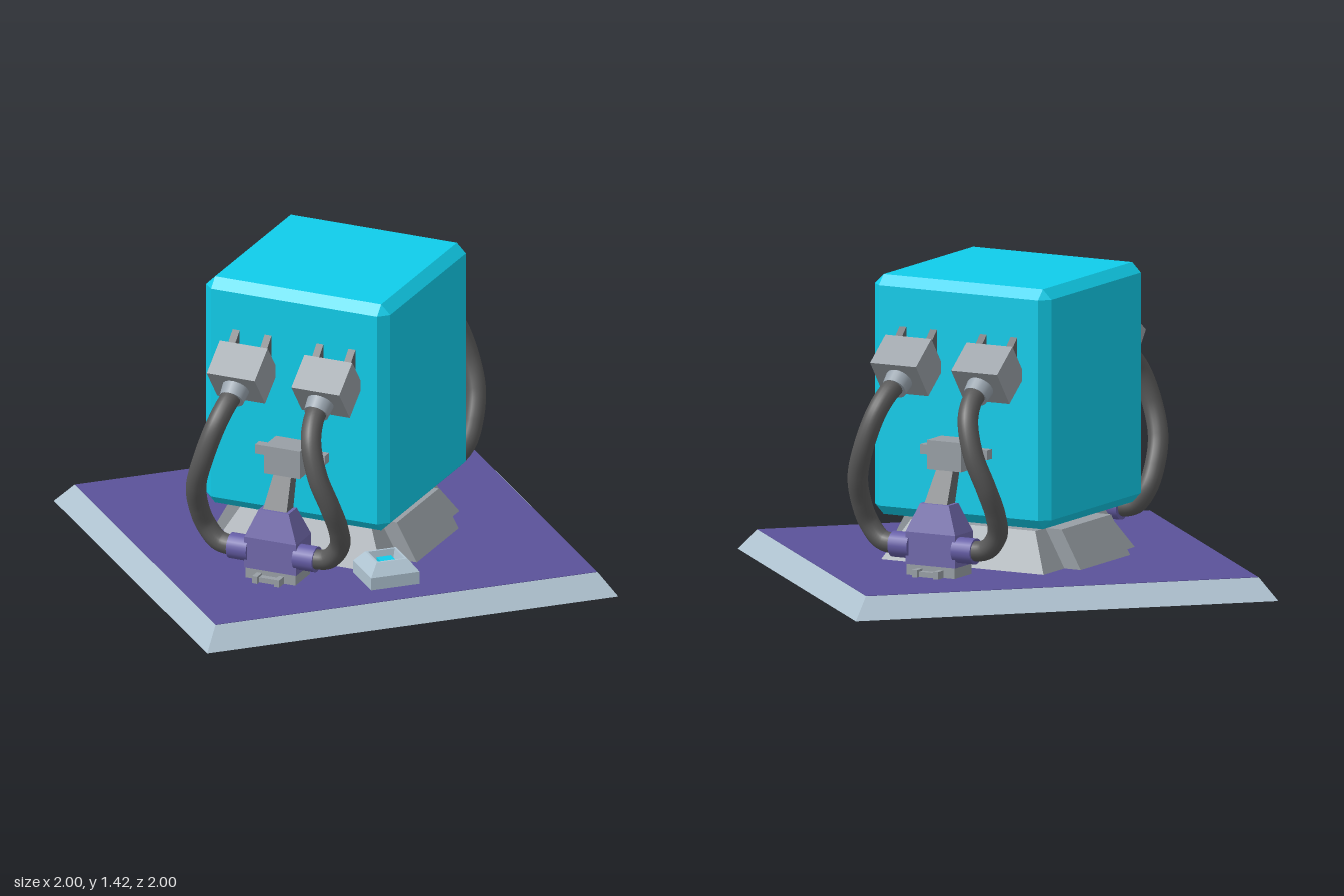
import * as THREE from 'three';
import { ConvexGeometry } from 'three/addons/geometries/ConvexGeometry.js';

const mat = (color, flatShading = true) => new THREE.MeshStandardMaterial({ color, flatShading });
const RIM = mat(0xb0c4d2), PURPLE = mat(0x5a5299), HOLDER = mat(0x7068ab), GREY = mat(0x989fa5);
const DARK = mat(0x626669), CYAN = mat(0x10cdea), CABLE = mat(0x585858, false), COLLAR = mat(0x98a3ad, false);
const PLUG = mat(0x655da6, false);

function add(parent, name, geometry, material, x = 0, y = 0, z = 0) {
  const mesh = new THREE.Mesh(geometry, material);
  mesh.name = name;
  mesh.position.set(x, y, z);
  parent.add(mesh);
  return mesh;
}

// Tapered box standing on y = 0; the top can be shifted sideways
function frustum(bw, bd, tw, td, h, dx = 0, dz = 0) {
  const g = new THREE.BoxGeometry(1, h, 1).translate(0, h / 2, 0);
  const p = g.attributes.position;
  for (let i = 0; i < p.count; i++) {
    const top = p.getY(i) > h / 2;
    p.setX(i, p.getX(i) * (top ? tw : bw) + (top ? dx : 0));
    p.setZ(i, p.getZ(i) * (top ? td : bd) + (top ? dz : 0));
  }
  g.computeVertexNormals();
  return g;
}

// Box with every edge and corner cut off by c
function chamferBox(w, h, d, c) {
  const pts = [];
  for (const sx of [-1, 1]) for (const sy of [-1, 1]) for (const sz of [-1, 1])
    for (let k = 0; k < 3; k++) {
      const cut = [c, c, c];
      cut[k] = 0;
      pts.push(new THREE.Vector3(sx * (w / 2 - cut[0]), sy * (h / 2 - cut[1]), sz * (d / 2 - cut[2])));
    }
  return new ConvexGeometry(pts);
}

// Small housing with a recessed lit square
function createIndicator() {
  const g = new THREE.Group();
  g.name = 'indicator';
  const profile = [[0.118, 0], [0.118, 0.06], [0.075, 0.115], [0.064, 0.115], [0.055, 0.07], [0, 0.07]]
    .map(([r, y]) => new THREE.Vector2(r * Math.SQRT2, y));
  const shell = new THREE.LatheGeometry(profile, 4, Math.PI / 4).toNonIndexed();
  shell.computeVertexNormals();
  add(g, 'indicatorHousing', shell, RIM);
  add(g, 'indicatorRecess', new THREE.BoxGeometry(0.108, 0.004, 0.108), DARK, 0, 0.071, 0);
  add(g, 'indicatorLight', new THREE.BoxGeometry(0.07, 0.025, 0.07), CYAN, 0, 0.083, 0);
  g.position.set(0, 0.1, 0.655);
  return g;
}

// One upper connector with its cable; side is -1 or 1
function createConnector(side) {
  const g = new THREE.Group();
  g.name = side > 0 ? 'cableRight' : 'cableLeft';

  // Connector head tilted outward and down
  const head = new THREE.Group();
  head.name = 'connectorHead';
  add(head, 'connectorBlock', new THREE.BoxGeometry(0.24, 0.19, 0.18), GREY);
  add(head, 'connectorCollar', new THREE.CylinderGeometry(0.058, 0.065, 0.07, 20).rotateX(Math.PI / 2), COLLAR, 0, 0, 0.115);
  head.position.set(side * 0.212, 1.037, 0.563);
  head.rotation.x = 0.65;
  g.add(head);

  // Triangular fins between head and cube
  const fin = new THREE.Shape([[0.45, 1.205], [0.45, 0.98], [0.56, 1.02], [0.56, 1.1]].map(([z, y]) => new THREE.Vector2(-z, y)));
  for (const x of [0.13, 0.29]) {
    const geo = new THREE.ExtrudeGeometry(fin, { depth: 0.035, bevelEnabled: false })
      .translate(0, 0, -0.0175).rotateY(Math.PI / 2);
    add(g, 'connectorFin', geo, DARK, side * x, 0, 0);
  }

  // Hanging cable
  const path = [[0.212, 0.97, 0.65], [0.22, 0.93, 0.73], [0.24, 0.85, 0.8], [0.286, 0.7, 0.83], [0.335, 0.55, 0.8],
    [0.35, 0.42, 0.74], [0.335, 0.32, 0.695], [0.275, 0.245, 0.685], [0.18, 0.23, 0.685]]
    .map(([x, y, z]) => new THREE.Vector3(side * x, y, z));
  add(g, 'cable', new THREE.TubeGeometry(new THREE.CatmullRomCurve3(path), 60, 0.047, 16), CABLE);

  // Plug on the lower holder
  add(g, 'lowerPlug', new THREE.CylinderGeometry(0.06, 0.06, 0.1, 20).rotateZ(Math.PI / 2), PLUG, side * 0.165, 0.23, 0.68);
  return g;
}

// Connectors, cables, holder and latch of one side, facing +z
function createSideAssembly() {
  const g = new THREE.Group();
  g.name = 'sideAssembly';
  for (const side of [-1, 1]) g.add(createConnector(side));

  add(g, 'holderFoot', new THREE.BoxGeometry(0.25, 0.05, 0.16), GREY, 0, 0.125, 0.64);
  add(g, 'holderBody', new THREE.BoxGeometry(0.26, 0.15, 0.165), HOLDER, 0, 0.225, 0.64);
  add(g, 'holderTop', frustum(0.26, 0.165, 0.15, 0.09, 0.13), HOLDER, 0, 0.3, 0.64);
  add(g, 'latchArm', frustum(0.12, 0.075, 0.08, 0.06, 0.19, 0, -0.1), DARK, 0, 0.42, 0.64);

  // Latch on the cube face
  add(g, 'latchBlock', new THREE.BoxGeometry(0.18, 0.135, 0.14), GREY, 0, 0.64, 0.525);
  for (const side of [-1, 1])
    add(g, 'latchTab', new THREE.BoxGeometry(0.09, 0.045, 0.05), GREY, side * 0.13, 0.645, 0.48);

  // Clip at the foot of the holder
  add(g, 'footClip', new THREE.BoxGeometry(0.11, 0.025, 0.03), GREY, 0, 0.113, 0.735);
  for (const side of [-1, 1])
    add(g, 'footClipEnd', new THREE.BoxGeometry(0.025, 0.035, 0.065), GREY, side * 0.055, 0.118, 0.74);
  return g;
}

export function createModel() {
  const model = new THREE.Group();
  model.name = 'cubeStation';

  // Floor plate
  add(model, 'basePlate', frustum(2, 2, 1.86, 1.84, 0.099), RIM);
  add(model, 'baseInlay', new THREE.BoxGeometry(1.855, 0.004, 1.835), PURPLE, 0, 0.099, 0);
  model.add(createIndicator());

  // Everything turned a half quarter
  const core = new THREE.Group();
  core.name = 'core';
  core.rotation.y = -Math.PI / 4;
  model.add(core);

  // Pedestal with a sloped wedge on two sides
  add(core, 'pedestal', frustum(0.85, 0.85, 0.65, 0.65, 0.18), GREY, 0, 0.1, 0);
  for (const side of [-1, 1])
    add(core, 'pedestalWedge', frustum(0.2, 0.46, 0.2, 0.46, 0.18, -side * 0.1), GREY, side * 0.41, 0.1, 0);

  // Short posts under the cube
  for (const sx of [-1, 1]) for (const sz of [-1, 1])
    add(core, 'post', new THREE.CylinderGeometry(0.07, 0.07, 0.06, 20), COLLAR, sx * 0.26, 0.3, sz * 0.11);

  add(core, 'cube', chamferBox(0.922, 1.11, 0.922, 0.045), CYAN, 0, 0.865, 0);

  for (const turn of [0, Math.PI]) {
    const assembly = createSideAssembly();
    assembly.rotation.y = turn;
    core.add(assembly);
  }
  return model;
}
